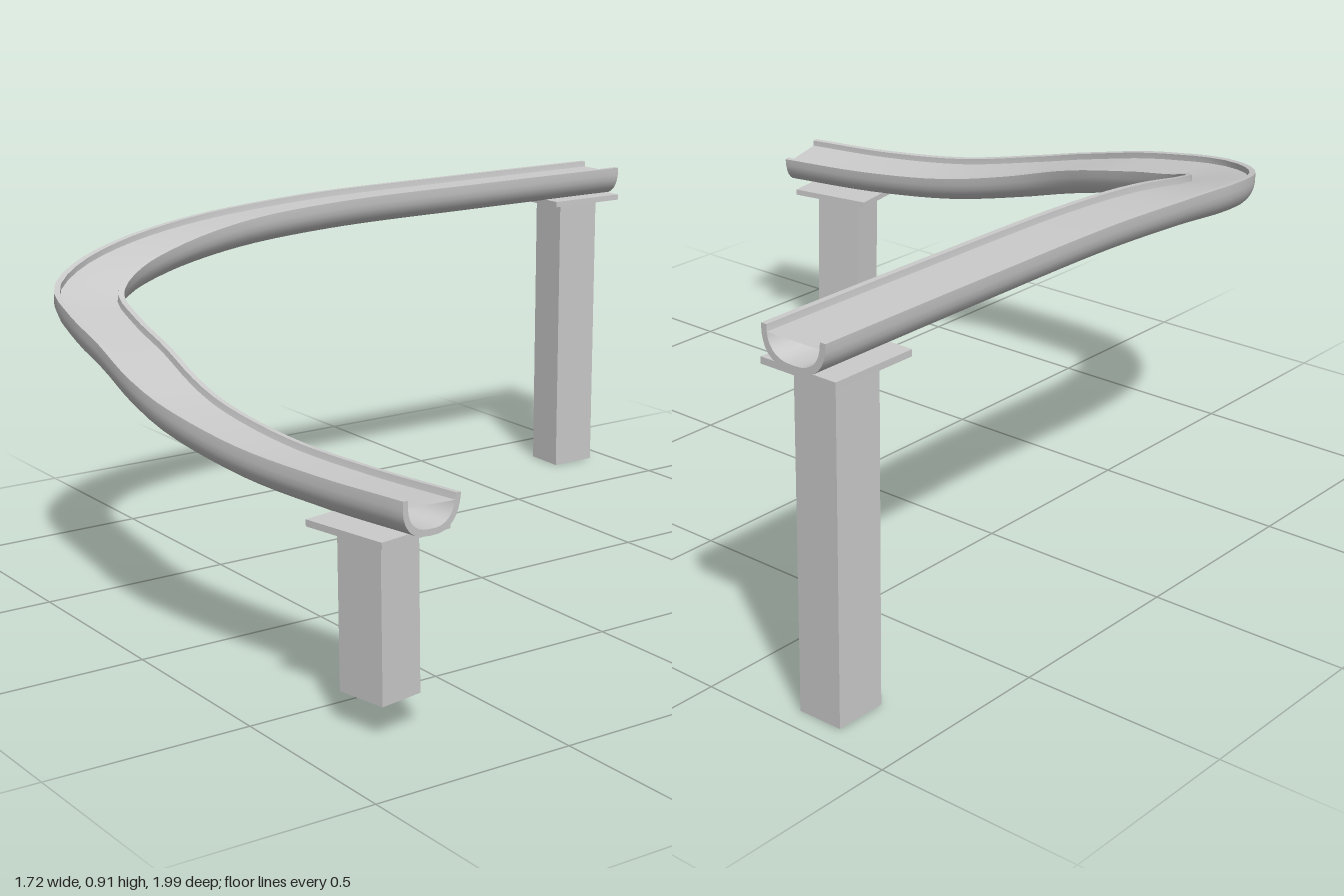
import * as THREE from 'three';

const grey = new THREE.MeshStandardMaterial({ color: 0xcccccc });
const thin = new THREE.MeshStandardMaterial({ color: 0xcccccc, side: THREE.DoubleSide });

// Centre of the channel at rim height: straight run, bend, then a descent
const path = new THREE.CatmullRomCurve3([
  [-0.757, 0.91, -1], [-0.757, 0.91, -0.5], [-0.757, 0.906, 0], [-0.75, 0.885, 0.32],
  [-0.72, 0.85, 0.55], [-0.66, 0.815, 0.71], [-0.55, 0.78, 0.825], [-0.38, 0.748, 0.868],
  [-0.2, 0.712, 0.885], [-0.03, 0.668, 0.9], [0.1, 0.633, 0.893], [0.33, 0.587, 0.848],
  [0.58, 0.568, 0.793], [0.838, 0.565, 0.742],
].map(p => new THREE.Vector3(...p)), false, 'centripetal');

// Frames along the path; the outer side is raised through the bend
const STEPS = 64;
const frames = Array.from({ length: STEPS + 1 }, (_, i) => {
  const u = i / STEPS;
  const o = path.getPointAt(u), t = path.getTangentAt(u);
  const side = new THREE.Vector3().crossVectors(t, new THREE.Vector3(0, 1, 0)).normalize();
  const up = new THREE.Vector3().crossVectors(side, t).normalize();
  const bank = 0.1 * THREE.MathUtils.smoothstep(u, 0.35, 0.5);
  side.applyAxisAngle(t, -bank);
  up.applyAxisAngle(t, -bank);
  if (side.y < 0) { side.applyAxisAngle(t, 2 * bank); up.applyAxisAngle(t, 2 * bank); }
  return { o, side, up };
});

const place = (f, [s, h]) => f.o.clone().addScaledVector(f.side, s).addScaledVector(f.up, h);

// Surface through rows of points
function skin(name, rows, material) {
  const n = rows[0].length, index = [];
  for (let i = 0; i < rows.length - 1; i++) {
    for (let j = 0; j < n - 1; j++) {
      const a = i * n + j, b = a + n;
      index.push(a, b, a + 1, b, b + 1, a + 1);
    }
  }
  const g = new THREE.BufferGeometry().setFromPoints(rows.flat());
  g.setIndex(index);
  g.computeVertexNormals();
  const m = new THREE.Mesh(g, material);
  m.name = name;
  return m;
}

const sweep = (name, profile, material = grey) =>
  skin(name, frames.map(f => profile.map(p => place(f, p))), material);

// Rounded U from the inner-bend side, under the floor, to the outer side
function uProfile(halfWidth, depth) {
  const n = 16;
  return Array.from({ length: n + 1 }, (_, i) => {
    const a = Math.PI * i / n, c = Math.cos(a);
    return [-halfWidth * Math.sign(c) * Math.abs(c) ** 0.75, -depth * Math.abs(Math.sin(a)) ** 0.85];
  });
}

// Support: a pillar with a flat pad on top, square to the track
function support(name, x, z, yaw, bottom, top, lean) {
  const g = new THREE.Group();
  g.name = name;
  const h = top - bottom;
  const pillarGeometry = new THREE.BoxGeometry(0.135, h, 0.115);
  pillarGeometry.translate(0, -h / 2, 0);
  const pillar = new THREE.Mesh(pillarGeometry, grey);
  pillar.name = 'pillar';
  pillar.rotation.x = lean;
  const pad = new THREE.Mesh(new THREE.BoxGeometry(0.235, 0.016, 0.205), grey);
  pad.name = 'pad';
  pad.position.y = 0.008;
  g.add(pillar, pad);
  g.position.set(x, top, z);
  g.rotation.y = yaw;
  return g;
}

export function createModel() {
  const model = new THREE.Group();
  model.name = 'slide';

  // Channel shell with rims and a shallow surface just below them
  const channel = new THREE.Group();
  channel.name = 'channel';
  const outer = uProfile(0.088, 0.085), inner = uProfile(0.073, 0.07);
  const last = outer.length - 1;
  channel.add(
    sweep('channelUnderside', outer),
    sweep('channelInside', [...inner].reverse()),
    sweep('outerRim', [outer[last], inner[last]]),
    sweep('innerRim', [inner[0], outer[0]]),
    sweep('runningSurface', [[0.072, -0.016], [-0.072, -0.016]], thin),
  );

  // Closed edges of the shell at both ends
  [['startEdge', frames[0]], ['finishEdge', frames[STEPS]]].forEach(([name, f]) => {
    channel.add(skin(name, [outer, inner].map(p => p.map(q => place(f, q))), thin));
  });
  model.add(channel);

  model.add(support('tallSupport', -0.762, -0.875, Math.PI / 2, 0, 0.815, 0.014));
  model.add(support('shortSupport', 0.67, 0.768, 0.18, 0.08, 0.459, 0));
  return model;
}
